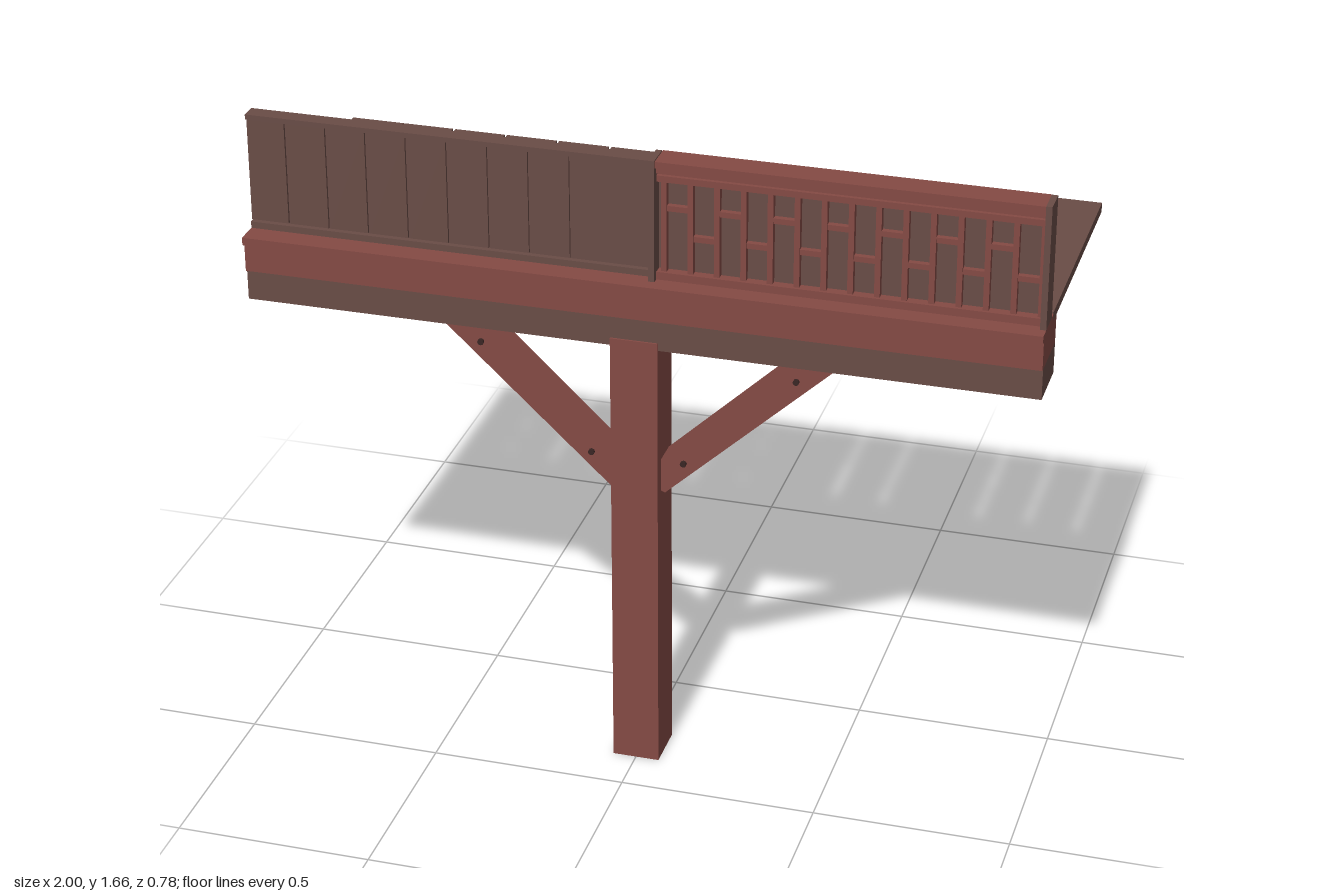
import * as THREE from 'three';

export function createModel() {
  const model = new THREE.Group();
  const mat = (name, color) => {
    const m = new THREE.MeshStandardMaterial({ color });
    m.name = name;
    return m;
  };
  const red = mat('red timber', 0x844a44);
  const brown = mat('brown timber', 0x694c46);
  const dark = mat('dark peg', 0x3a2624);

  // Box given by its minimum and maximum on each axis
  const box = (name, m, x0, x1, y0, y1, z0, z1, parent = model) => {
    const mesh = new THREE.Mesh(new THREE.BoxGeometry(x1 - x0, y1 - y0, z1 - z0), m);
    mesh.position.set((x0 + x1) / 2, (y0 + y1) / 2, (z0 + z1) / 2);
    mesh.name = name;
    parent.add(mesh);
    return mesh;
  };
  const group = (name) => {
    const g = new THREE.Group();
    g.name = name;
    model.add(g);
    return g;
  };

  // Post and the main beam with its fascia and cap
  box('post', red, -0.06, 0.06, 0, 1.19, 0.25, 0.375);
  box('lowerBeam', brown, -1, 1, 1.17, 1.25, 0.22, 0.37);
  box('upperBeam', red, -1, 1, 1.25, 1.325, 0.22, 0.378);
  box('beamCap', red, -1, 1, 1.325, 1.345, 0.26, 0.39);

  // Diagonal braces with pegs, mirrored about the post
  for (const s of [-1, 1]) {
    const brace = group(s < 0 ? 'rightBrace' : 'leftBrace');
    const pts = [[0.055, 0.775], [0.07, 0.768], [0.505, 1.172], [0.39, 1.172], [0.055, 0.855]];
    const shape = new THREE.Shape(pts.map(([x, y]) => new THREE.Vector2(s * x, y)));
    const bar = new THREE.Mesh(
      new THREE.ExtrudeGeometry(shape, { depth: 0.07, bevelEnabled: false }), red);
    bar.position.z = 0.275;
    bar.name = 'braceBar';
    brace.add(bar);
    for (const [x, y] of [[0.4, 1.122], [0.118, 0.857]]) {
      const peg = new THREE.Mesh(new THREE.CylinderGeometry(0.008, 0.008, 0.012, 8), dark);
      peg.rotation.x = Math.PI / 2;
      peg.position.set(s * x, y, 0.347);
      peg.name = 'peg';
      brace.add(peg);
    }
  }

  // Joists under the deck
  const joists = group('joists');
  for (let i = 0; i < 9; i++) {
    const x = -0.9 + i * 0.2235;
    box('joist', brown, x - 0.026, x + 0.026, 1.205, 1.325, -0.38, 0.22, joists);
  }

  // Deck planks with narrow gaps
  const deck = group('deck');
  const pitch = 2 / 14;
  const tightGaps = [1, 6, 10];
  for (let i = 0; i < 14; i++) {
    const gap = tightGaps.includes(i + 1) ? 0.001 : 0.007;
    const x = -1 + i * pitch;
    box('plank', brown, x, x + pitch - (i === 13 ? 0 : gap), 1.325, 1.35, -0.39, 0.262, deck);
  }

  // Boarded parapet: back sheet, boards with grooves, rails
  const parapet = group('boardedParapet');
  box('backSheet', brown, -1, 1, 1.345, 1.635, 0.287, 0.313, parapet);
  const seams = [-1, -0.9, -0.795, -0.692, -0.588, -0.484, -0.38, -0.277, -0.173, 0.035];
  for (let i = 0; i < seams.length - 1; i++) {
    box('board', brown, seams[i] + (i ? 0.003 : 0), seams[i + 1] - 0.003,
      1.365, 1.635, 0.313, 0.32, parapet);
  }
  box('topRail', brown, -1, 0.035, 1.635, 1.648, 0.285, 0.328, parapet);
  box('bottomRail', brown, -1, 0.035, 1.345, 1.362, 0.313, 0.328, parapet);

  // Lattice parapet: end posts, rails, uprights and staggered rungs
  const lattice = group('latticeParapet');
  for (const x of [0.032, 0.985]) {
    box('endPost', brown, x, x + 0.015, 1.345, 1.66, 0.285, 0.355, lattice);
  }
  const xa = 0.047, xb = 0.985;
  box('latticeTopRail', red, xa, xb, 1.64, 1.657, 0.277, 0.35, lattice);
  box('latticeUnderRail', red, xa, xb, 1.622, 1.64, 0.283, 0.338, lattice);
  box('latticeUpperRail', red, xa, xb, 1.6, 1.616, 0.313, 0.335, lattice);
  box('latticeBottomRail', red, xa, xb, 1.345, 1.365, 0.313, 0.338, lattice);
  const step = 0.0655, n = 15;
  for (let i = 0; i < n; i++) {
    const x = 0.064 + i * step;
    if (x < xb) box('upright', red, x - 0.007, x + 0.007, 1.365, 1.6, 0.313, 0.33, lattice);
    if (i < n - 1) {
      const y = i % 2 ? 1.457 : 1.53;
      box('rung', red, x + 0.007, x + step - 0.007, y - 0.007, y + 0.007, 0.313, 0.328, lattice);
    }
  }
  return model;
}
